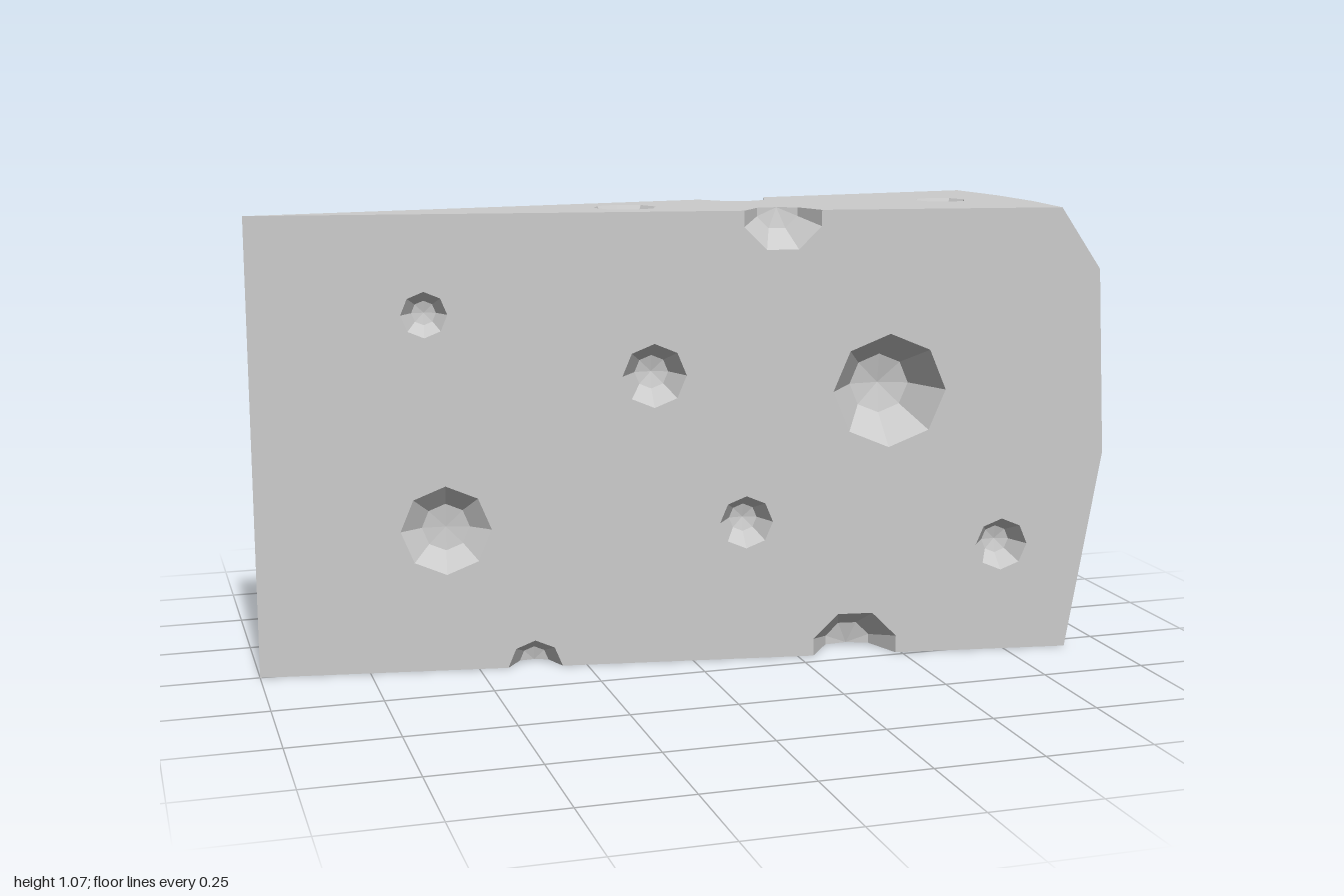
import * as THREE from 'three';

const HEIGHT = 1.066, HALF = THREE.MathUtils.degToRad(9);
const C = Math.cos(HALF), S = Math.sin(HALF);
const INNER = 0.53, DEEP = 0.87; // inner ring of every hole, relative to radius and depth

// Rind profile: [radius from the tip, height]
const RIND = [[1.925, 0], [2.0027, 0.48], [1.98, 0.92], [1.883, HEIGHT]];

// Holes in each cut side: [x, y, radius, depth]
const SIDE_HOLES = [
  [-0.61, 0.838, 0.053, 0.045], [-0.09, 0.687, 0.075, 0.075], [0.46, 0.64, 0.135, 0.13],
  [-0.57, 0.335, 0.105, 0.045], [0.125, 0.333, 0.063, 0.063], [0.738, 0.26, 0.063, 0.063],
];
// Holes in the top: [x, z, radius, depth]
const TOP_HOLES = [[-0.12, 0, 0.075, 0.075], [0.68, 0, 0.063, 0.063]];
// Half holes along the edges; "flat" ones have a side instead of a corner in the middle
const BITES = [
  { x: -0.37, y: 0, r: 0.064, d: 0.062, flat: false },
  { x: 0.387, y: 0, r: 0.109, d: 0.1, flat: true },
  { x: 0.205, y: HEIGHT, r: 0.098, d: 0.092, flat: true },
];
const along = (x) => (x + 1) / C; // distance from the tip along a cut side

// Unit rim points, counter-clockwise
const ring = (angles) => angles.map((a) => {
  const t = THREE.MathUtils.degToRad(a);
  return [Math.cos(t), Math.sin(t)];
});
const OCTAGON = ring([0, 45, 90, 135, 180, 225, 270, 315]);
const biteRim = ({ y, flat }) => {
  const start = y > 0 ? 180 : 0;
  const rim = ring((flat ? [0, 22.5, 67.5, 112.5, 157.5, 180] : [0, 45, 90, 135, 180]).map((a) => a + start));
  if (flat) for (const i of [0, rim.length - 1]) rim[i][0] *= Math.cos(Math.PI / 8);
  return rim;
};

function soup(triangles) {
  const g = new THREE.BufferGeometry();
  g.setAttribute('position', new THREE.Float32BufferAttribute(triangles.flat(2), 3));
  g.computeVertexNormals();
  return g;
}

// Faceted hollow sunk along -z
function bowl(x, y, r, d, rim, closed) {
  const tris = [], n = rim.length;
  const at = ([a, b], k, z) => [x + a * r * k, y + b * r * k, -z];
  for (let i = 0; i < (closed ? n : n - 1); i++) {
    const p = rim[i], q = rim[(i + 1) % n];
    const A = at(p, 1, 0), B = at(q, 1, 0), a = at(p, INNER, d * DEEP), b = at(q, INNER, d * DEEP);
    tris.push([A, B, b], [A, b, a], [a, b, [x, y, -d]]);
  }
  return soup(tris);
}

function plate(points, holes) {
  const v = (p) => new THREE.Vector2(p[0], p[1]);
  const shape = new THREE.Shape(points.map(v));
  for (const [x, y, r] of holes) {
    shape.holes.push(new THREE.Path(OCTAGON.map(([a, b]) => v([x + a * r, y + b * r]))));
  }
  return new THREE.ShapeGeometry(shape).toNonIndexed();
}

// Reflected copy across z = 0 with the corner order reversed
function mirrored(geometry) {
  const p = geometry.attributes.position, tris = [];
  for (let i = 0; i < p.count; i += 3) {
    tris.push([2, 1, 0].map((k) => [p.getX(i + k), p.getY(i + k), -p.getZ(i + k)]));
  }
  return soup(tris);
}

// Outline of one cut side, in (distance from tip, height)
function sideOutline() {
  const bite = (b) => biteRim(b).reverse().map(([p, q]) => [along(b.x) + p * b.r, b.y + q * b.r]);
  const bottom = BITES.filter((b) => b.y === 0).flatMap(bite);
  const top = BITES.filter((b) => b.y > 0).flatMap(bite);
  return [[0, 0], ...bottom, ...RIND, ...top, [0, HEIGHT]];
}

// Outline of the top or bottom, notched by the edge holes
function capOutline(radius, y) {
  const edge = [];
  for (const b of BITES.filter((e) => e.y === y)) {
    const u = along(b.x), w = b.r * biteRim(b)[0][0] * (y > 0 ? -1 : 1);
    const notch = [[-w, 0], [-w * INNER, b.d * DEEP], [0, b.d], [w * INNER, b.d * DEEP], [w, 0]];
    for (const [du, n] of notch) edge.push([-1 + (u + du) * C + n * S, -(u + du) * S + n * C]);
  }
  for (const a of [-HALF, -HALF / 3]) edge.push([-1 + radius * Math.cos(a), radius * Math.sin(a)]);
  return [[-1, 0], ...edge, ...edge.map(([x, z]) => [x, -z]).reverse()];
}

function rindGeometry() {
  const tris = [];
  const at = ([r, y], j) => {
    const a = HALF * (1 - (2 * j) / 3);
    return [-1 + r * Math.cos(a), y, r * Math.sin(a)];
  };
  for (let i = 0; i < 3; i++) for (let j = 0; j < 3; j++) {
    const a = at(RIND[i], j), b = at(RIND[i], j + 1), c = at(RIND[i + 1], j + 1), d = at(RIND[i + 1], j);
    tris.push([a, b, c], [a, c, d]);
  }
  return soup(tris);
}

export function createModel() {
  const model = new THREE.Group();
  model.name = 'cheeseWedge';
  const material = new THREE.MeshStandardMaterial({ color: 0xcccccc });
  material.name = 'pale grey';
  const add = (name, geometry) => {
    const mesh = new THREE.Mesh(geometry, material);
    mesh.name = name;
    model.add(mesh);
  };

  // Cut sides with their holes, built flat and swung into place
  const holes = SIDE_HOLES.map(([x, ...rest]) => [along(x), ...rest]);
  const sideParts = [
    ['cutSide', plate(sideOutline(), holes)],
    ...holes.map((h) => ['sideHole', bowl(...h, OCTAGON, true)]),
    ...BITES.map((b) => ['edgeHole', bowl(along(b.x), b.y, b.r, b.d, biteRim(b), false)]),
  ];
  for (const [name, geometry] of sideParts) {
    geometry.rotateY(-HALF).translate(-1, 0, 0);
    add(name + 'Front', geometry);
    add(name + 'Back', mirrored(geometry));
  }

  // Top and bottom
  add('top', plate(capOutline(RIND[3][0], HEIGHT), TOP_HOLES).rotateX(-Math.PI / 2).translate(0, HEIGHT, 0));
  for (const h of TOP_HOLES) {
    add('topHole', bowl(...h, OCTAGON, true).rotateX(-Math.PI / 2).translate(0, HEIGHT, 0));
  }
  add('bottom', plate(capOutline(RIND[0][0], 0), []).rotateX(Math.PI / 2));

  // Curved rind
  add('rind', rindGeometry());
  return model;
}
